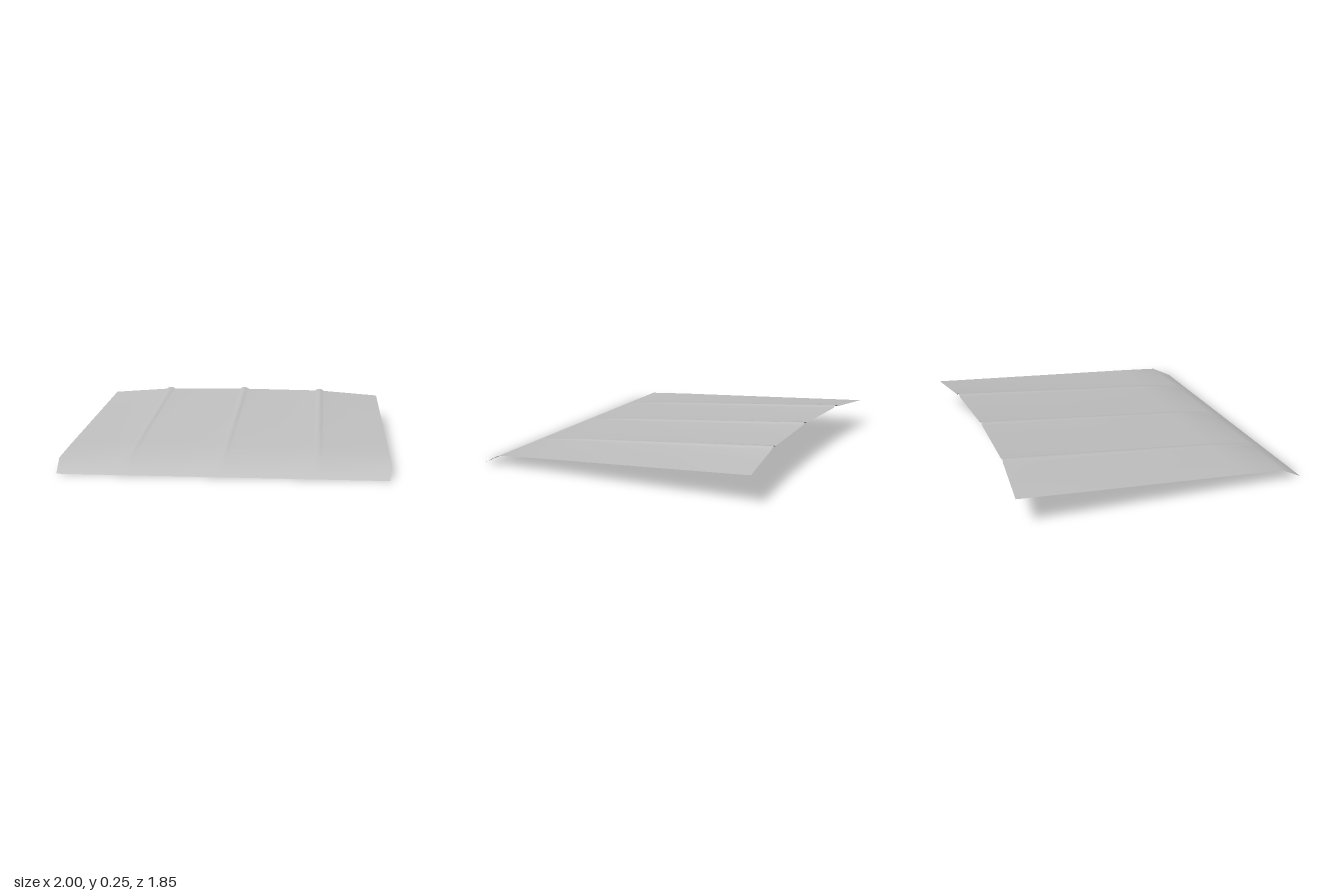
import * as THREE from 'three';

// Cross-rows from front lip to back edge: width scale, rib height,
// then height and depth at the centre, the outer ribs and the side edges.
const rows = [
  { w: 0.985, rib: 0, y: [0.003, 0.003, 0.003], z: [0.92, 0.92, 0.92] },
  { w: 1, rib: 0, y: [0.07, 0.07, 0.07], z: [0.785, 0.785, 0.785] },
  { w: 1, rib: 0.004, y: [0.112, 0.107, 0.093], z: [0.5, 0.5, 0.5] },
  { w: 1, rib: 0.008, y: [0.176, 0.169, 0.142], z: [-0.18, -0.19, -0.21] },
  { w: 1, rib: 0.012, y: [0.24, 0.231, 0.192], z: [-0.865, -0.882, -0.925] },
];
const RIB_X = 0.57;

// Straight-line blend from centre to outer rib to side edge
function across([centre, mid, edge], x) {
  const a = Math.abs(x);
  return a < RIB_X
    ? THREE.MathUtils.lerp(centre, mid, a / RIB_X)
    : THREE.MathUtils.lerp(mid, edge, (a - RIB_X) / (1 - RIB_X));
}

// Columns: plain panel points, plus five points over each raised rib
function makeColumns() {
  const columns = [-1, -0.8, -0.3, 0.3, 0.8, 1].map((x) => ({ x, lift: 0 }));
  for (const c of [-RIB_X, 0, RIB_X]) {
    for (const [dx, lift] of [[-0.034, 0], [-0.016, 0.9], [0, 1], [0.016, 0.9], [0.034, 0]]) {
      columns.push({ x: c + dx, lift });
    }
  }
  return columns.sort((a, b) => a.x - b.x);
}

// Thin open sheet lofted through the rows
function makeSheet() {
  const columns = makeColumns();
  const n = columns.length;
  const positions = [];
  const index = [];
  rows.forEach((row, r) => {
    columns.forEach(({ x, lift }, c) => {
      positions.push(x * row.w, across(row.y, x) + lift * row.rib, across(row.z, x));
      if (r > 0 && c > 0) {
        const b = r * n + c;
        const f = b - n;
        index.push(f - 1, f, b, f - 1, b, b - 1);
      }
    });
  });
  const geometry = new THREE.BufferGeometry();
  geometry.setAttribute('position', new THREE.Float32BufferAttribute(positions, 3));
  geometry.setIndex(index);
  geometry.computeVertexNormals();
  return geometry;
}

export function createModel() {
  const grey = new THREE.MeshStandardMaterial({ color: 0xc0c0c0, side: THREE.DoubleSide });
  grey.name = 'light grey';
  const panel = new THREE.Mesh(makeSheet(), grey);
  panel.name = 'ribbedRoofPanel';
  const group = new THREE.Group();
  group.name = 'roof';
  group.add(panel);
  return group;
}
